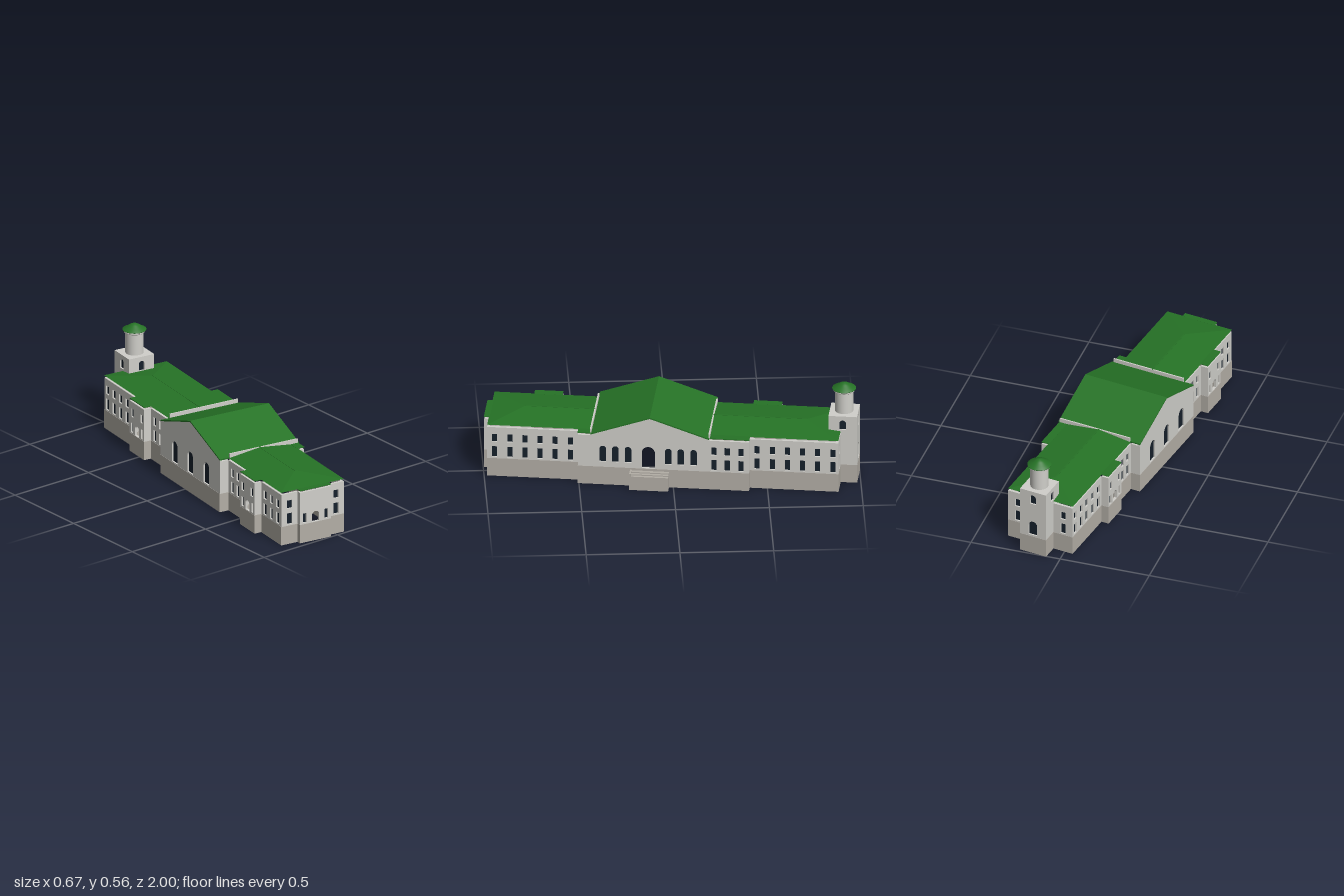
import * as THREE from 'three';

const paint = (color, side = THREE.FrontSide) => new THREE.MeshStandardMaterial({ color, side, flatShading: true });
const WALL = paint(0xd0cfca), STONE = paint(0xb3aea6);
const GREEN = paint(0x267326, THREE.DoubleSide), GLASS = paint(0x15202b, THREE.DoubleSide);
const SHAFT = new THREE.MeshStandardMaterial({ color: 0xd0cfca });
const DOME = new THREE.MeshStandardMaterial({ color: 0x267326, side: THREE.DoubleSide });
const PLINTH = 0.105, TOP = 0.29, EAVE = 0.303, RIDGE = 0.327;
const MID = 0.09; // centre line of the gabled hall along z

function add(parent, name, geo, mat) {
  const m = new THREE.Mesh(geo, mat);
  m.name = name;
  parent.add(m);
  return m;
}

function box(parent, name, mat, x0, x1, y0, y1, z0, z1) {
  const m = add(parent, name, new THREE.BoxGeometry(x1 - x0, y1 - y0, z1 - z0), mat);
  m.position.set((x0 + x1) / 2, (y0 + y1) / 2, (z0 + z1) / 2);
  return m;
}

// Rectangular or round-headed opening outline
function opening(Type, s, { y0, y1, w, arch }) {
  const p = new Type(), r = w / 2;
  p.moveTo(s - r, y0);
  p.lineTo(s + r, y0);
  if (arch) {
    p.lineTo(s + r, y1 - r);
    p.absarc(s, y1 - r, r, 0, Math.PI, false);
  } else {
    p.lineTo(s + r, y1);
    p.lineTo(s - r, y1);
  }
  p.lineTo(s - r, y0);
  return p;
}

// One wall from a to b (left to right seen from outside), plinth below, glazed openings above
function wall(parent, name, a, b, holes = [], top = TOP) {
  const g = new THREE.Group(), dx = b[0] - a[0], dz = b[1] - a[1], len = Math.hypot(dx, dz);
  g.name = name;
  g.position.set(a[0], 0, a[1]);
  g.rotation.y = Math.atan2(-dz, dx);
  const along = (c) => Math.abs(c - (Math.abs(dx) > Math.abs(dz) ? a[0] : a[1]));
  const face = new THREE.Shape();
  face.moveTo(0, PLINTH);
  face.lineTo(len, PLINTH);
  face.lineTo(len, top);
  face.lineTo(0, top);
  face.closePath();
  holes.forEach((h) => face.holes.push(opening(THREE.Path, along(h.c), h)));
  const geo = new THREE.ExtrudeGeometry(face, { depth: 0.014, bevelEnabled: false, curveSegments: 10 });
  add(g, 'wallFace', geo.translate(0, 0, -0.014), WALL);
  box(g, 'plinth', STONE, 0, len, 0, PLINTH, -0.018, 0.001);
  const panes = holes.filter((h) => !h.open).map((h) => opening(THREE.Shape, along(h.c), h));
  if (panes.length) add(g, 'windowPanes', new THREE.ShapeGeometry(panes, 10).translate(0, 0, -0.009), GLASS);
  parent.add(g);
}

// Upper and lower window at each centre
const twoRows = (centres, w = 0.03) => centres.flatMap((c) => [
  { c, y0: 0.113, y1: 0.176, w }, { c, y0: 0.203, y1: 0.25, w }]);
const row = (start, step, n) => Array.from({ length: n }, (_, i) => start + i * step);
const arches = (centres, w, y0, y1) => centres.map((c) => ({ c, w, y0, y1, arch: true }));
const porch = (c, d) => [
  { c, y0: 0.107, y1: 0.167, w: 0.044, arch: true, open: true },
  { c: c - d, y0: 0.113, y1: 0.167, w: 0.02 }, { c: c + d, y0: 0.113, y1: 0.167, w: 0.02 }];
const upper = (centres) => centres.map((c) => ({ c, y0: 0.203, y1: 0.25, w: 0.024 }));

function buildWalls(parent) {
  // Each corner carries the openings of the wall that starts there
  const outline = [
    [-0.184, 0.965, twoRows([-0.133])],
    [-0.084, 0.965],
    [-0.084, 0.99, porch(0.012, 0.066)],
    [0.107, 0.99],
    [0.107, 0.965, twoRows([0.153])],
    [0.2, 0.965, twoRows(row(0.925, -0.081, 6), 0.028)],
    [0.2, 0.475],
    [0.24, 0.475, [
      ...arches([0.342, 0.275, 0.207, -0.009, -0.075, -0.144], 0.036, 0.135, 0.23),
      { c: 0.098, y0: 0.107, y1: 0.235, w: 0.07, arch: true, open: true },
      ...twoRows([-0.252, -0.324, -0.398], 0.028)]],
    [0.24, -0.44],
    [0.2, -0.44, twoRows(row(-0.48, -0.081, 6), 0.028)],
    [0.2, -0.915, twoRows([0.143])],
    [-0.184, -0.915, twoRows(row(-0.88, 0.068, 5))].slice(0, 3),
    [-0.184, -0.573],
    [-0.226, -0.573, [...porch(-0.497, 0.052), ...upper([-0.545, -0.449])]],
    [-0.226, -0.421],
    [-0.184, -0.421, twoRows([-0.38, -0.322, -0.264], 0.028)],
    [-0.184, -0.226],
    [-0.238, -0.226, arches([-0.075, MID, 0.262], 0.06, 0.112, 0.235)],
    [-0.238, 0.404],
    [-0.184, 0.404, twoRows([0.445, 0.503, 0.561], 0.028)],
    [-0.184, 0.6],
    [-0.226, 0.6, [...porch(0.676, 0.052), ...upper([0.628, 0.724])]],
    [-0.226, 0.752],
    [-0.184, 0.752, twoRows([0.79, 0.857, 0.925])],
  ];
  outline.forEach((p, i) => {
    const q = outline[(i + 1) % outline.length];
    if (p[0] === 0.2 && p[1] === -0.915) { // end wall, interrupted by the tower
      wall(parent, 'endWall', p, [0.085, -0.915], p[2]);
      wall(parent, 'endWall', [-0.07, -0.915], q, twoRows([-0.128]));
    } else wall(parent, 'outerWall', p, q, p[2]);
  });
}

// Low hipped wing roof: full section at zIn, hip at zOut
function wingRoof(parent, zIn, zOut) {
  const hip = zOut - Math.sign(zOut) * 0.185, x0 = -0.186, x1 = 0.2, xm = 0.006;
  const p = [[x0, EAVE, zIn], [x1, EAVE, zIn], [x1, EAVE, zOut], [x0, EAVE, zOut], [xm, RIDGE, zIn], [xm, RIDGE, hip]];
  let faces = [0, 3, 5, 0, 5, 4, 1, 4, 5, 1, 5, 2, 3, 2, 5];
  if (zOut < 0) faces = faces.reverse();
  const geo = new THREE.BufferGeometry();
  geo.setAttribute('position', new THREE.Float32BufferAttribute(faces.flatMap((i) => p[i]), 3));
  geo.computeVertexNormals();
  add(parent, 'wingRoof', geo, GREEN);
  const a = Math.min(zIn, hip), b = Math.max(zIn, hip);
  box(parent, 'ridgeCap', GREEN, xm - 0.003, xm + 0.003, RIDGE - 0.004, RIDGE + 0.001, a, b);
}

// Profile across z, extruded along x
function acrossHall(parent, name, mat, pts, x0, x1) {
  const s = new THREE.Shape(pts.map(([x, y]) => new THREE.Vector2(x, y)));
  const m = add(parent, name, new THREE.ExtrudeGeometry(s, { depth: x1 - x0, bevelEnabled: false }), mat);
  m.rotation.y = Math.PI / 2;
  m.position.set(x0, 0, MID);
}

function buildRoofs(parent) {
  wingRoof(parent, 0.404, 0.965);
  wingRoof(parent, -0.226, -0.915);
  // Flat roof pieces over the projecting bays
  [[-0.084, 0.107, 0.96, 0.992], [-0.226, -0.18, 0.6, 0.752], [-0.226, -0.18, -0.573, -0.421],
    [0.195, 0.24, 0.4, 0.477], [0.195, 0.24, -0.442, -0.22]].forEach(([x0, x1, z0, z1]) =>
    box(parent, 'bayRoof', GREEN, x0, x1, EAVE - 0.003, EAVE + 0.001, z0, z1));
  // Gabled hall roof, pediments and side parapets
  const h = 0.316, peak = 0.414, low = 0.305, t = 0.007;
  acrossHall(parent, 'hallRoof', GREEN,
    [[-h, low - t], [0, peak - t], [h, low - t], [h, low], [0, peak], [-h, low]], -0.239, 0.247);
  const gable = [[-h + 0.002, TOP], [h - 0.002, TOP], [h - 0.002, low - 0.004], [0, peak - 0.004], [-h + 0.002, low - 0.004]];
  acrossHall(parent, 'pediment', WALL, gable, 0.228, 0.24);
  acrossHall(parent, 'pediment', WALL, gable, -0.238, -0.226);
  [-1, 1].forEach((s) => {
    const z = MID + s * 0.317;
    box(parent, 'sideParapet', WALL, -0.18, 0.238, TOP, RIDGE, z - 0.004, z + 0.004);
  });
}

function buildTower(parent) {
  const x0 = -0.07, x1 = 0.085, z0 = -1.003, z1 = -0.85, H = 0.39;
  const cx = (x0 + x1) / 2, cz = (z0 + z1) / 2;
  const corners = [[x0, z1], [x1, z1], [x1, z0], [x0, z0]];
  corners.forEach((c, i) => {
    const mid = i % 2 ? cz : cx;
    const holes = arches([mid], 0.035, 0.313, 0.368);
    if (i === 2) holes.push(...arches([mid], 0.05, 0.115, 0.2));
    wall(parent, 'towerWall', c, corners[(i + 1) % 4], holes, H);
  });
  box(parent, 'towerDeck', WALL, x0, x1, H - 0.008, H + 0.002, z0, z1);
  const lathe = (name, pts, mat) => add(parent, name,
    new THREE.LatheGeometry(pts.map(([r, y]) => new THREE.Vector2(r, y)), 32), mat).position.set(cx, 0, cz);
  lathe('lanternDrum', [[0.049, H], [0.049, 0.51]], SHAFT);
  lathe('drumCornice', [[0.049, 0.508], [0.056, 0.514], [0.058, 0.514], [0.058, 0.525], [0, 0.525]], SHAFT);
  lathe('towerCap', [[0, 0.523], [0.064, 0.524], [0.064, 0.527], [0.045, 0.537], [0.026, 0.55], [0.012, 0.557], [0, 0.559]], DOME);
}

function buildSteps(parent) {
  const z0 = -0.013, z1 = 0.195;
  box(parent, 'landing', STONE, 0.24, 0.292, 0, 0.08, z0, z1);
  box(parent, 'step', STONE, 0.24, 0.276, 0.08, 0.086, z0, z1);
  box(parent, 'step', STONE, 0.24, 0.26, 0.086, 0.092, z0, z1);
  box(parent, 'stepCurb', STONE, 0.24, 0.292, 0, 0.095, z1 - 0.008, z1 + 0.001);
}

export function createModel() {
  const model = new THREE.Group();
  model.name = 'stationBuilding';
  const part = (name, build) => {
    const g = new THREE.Group();
    g.name = name;
    build(g);
    model.add(g);
  };
  part('walls', buildWalls);
  part('roofs', buildRoofs);
  part('tower', buildTower);
  part('entranceSteps', buildSteps);
  // The building stands slightly turned on its site
  model.rotation.y = THREE.MathUtils.degToRad(-8.5);
  const root = new THREE.Group();
  root.name = 'station';
  root.add(model);
  return root;
}
